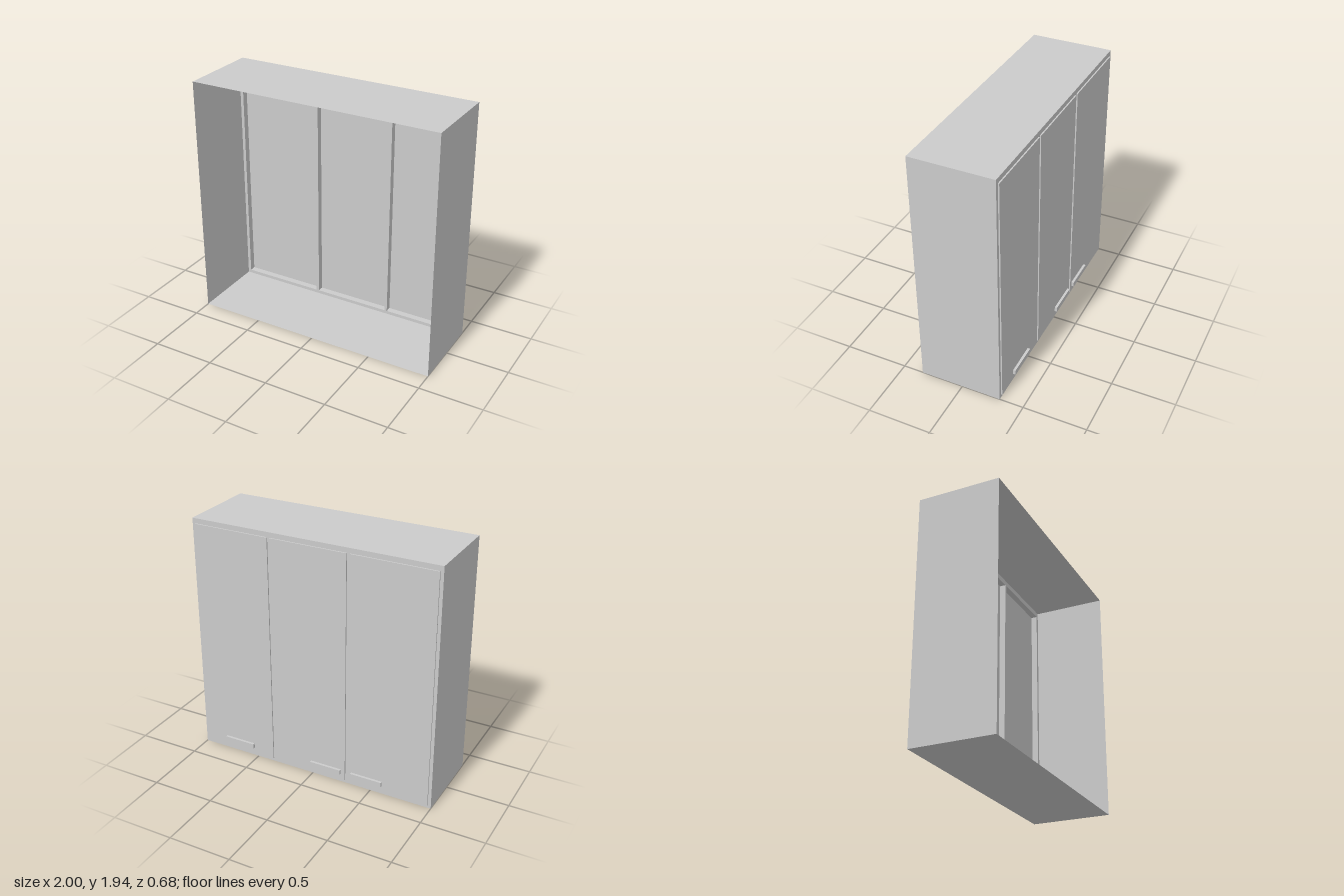
import * as THREE from 'three';

const W = 2, H = 1.94, FRONT = 0.34, BACK = -0.31;
const DOOR_BACK = -0.32, HANDLE_BACK = -0.34;

const solid = new THREE.MeshStandardMaterial({ color: 0xcccccc, flatShading: true });
const sheet = new THREE.MeshStandardMaterial({ color: 0xcccccc, flatShading: true, side: THREE.DoubleSide });

// Thin panel of size w x h, turned by (rx, ry) and placed at (x, y, z)
function panel(name, w, h, [x, y, z], rx = 0, ry = 0) {
  const mesh = new THREE.Mesh(new THREE.PlaneGeometry(w, h), sheet);
  mesh.name = name;
  mesh.position.set(x, y, z);
  mesh.rotation.set(rx, ry, 0);
  return mesh;
}

function rectangle(PathType, x0, x1, y0, y1) {
  const p = new PathType();
  p.moveTo(x0, y0);
  p.lineTo(x1, y0);
  p.lineTo(x1, y1);
  p.lineTo(x0, y1);
  p.closePath();
  return p;
}

// Bent-sheet pull: face, top and two ends, open underneath
function createHandle(x0, x1) {
  const handle = new THREE.Group();
  handle.name = 'handle';
  const y0 = 0.075, y1 = 0.115, h = y1 - y0, w = x1 - x0;
  const depth = DOOR_BACK - HANDLE_BACK, cx = (x0 + x1) / 2;
  const cy = (y0 + y1) / 2, cz = (DOOR_BACK + HANDLE_BACK) / 2;
  handle.add(panel('handleFace', w, h, [cx, cy, HANDLE_BACK], 0, Math.PI));
  handle.add(panel('handleTop', w, depth, [cx, y1, cz], -Math.PI / 2));
  for (const [x, turn] of [[x0, -1], [x1, 1]]) {
    handle.add(panel('handleEnd', depth, h, [x, cy, cz], 0, turn * Math.PI / 2));
  }
  return handle;
}

export function createModel() {
  const model = new THREE.Group();
  model.name = 'wallCabinet';

  // Carcass: thin panels, open at the front
  const carcass = new THREE.Group();
  carcass.name = 'carcass';
  const depth = FRONT - BACK, cz = (FRONT + BACK) / 2;
  carcass.add(panel('topPanel', W, depth, [0, H, cz], -Math.PI / 2));
  carcass.add(panel('bottomPanel', W, depth, [0, 0, cz], Math.PI / 2));
  for (const s of [-1, 1]) {
    carcass.add(panel('sidePanel', depth, H, [s * W / 2, H / 2, cz], 0, s * Math.PI / 2));
  }
  model.add(carcass);

  // Door extents and their handle extents along x
  const doors = [
    { x: [-0.975, -0.31], handle: [-0.6, -0.34] },
    { x: [-0.285, 0.335], handle: [-0.25, 0.01] },
    { x: [0.355, 0.975], handle: [0.53, 0.79] },
  ];
  const y0 = 0.027, y1 = 1.9;

  // Face frame with one opening per door
  const outline = rectangle(THREE.Shape, -W / 2, W / 2, 0, H);
  for (const d of doors) outline.holes.push(rectangle(THREE.Path, ...d.x, y0, y1));
  const frame = new THREE.Mesh(
    new THREE.ExtrudeGeometry(outline, { depth: 0.05, bevelEnabled: false }), solid);
  frame.name = 'doorFrame';
  frame.position.z = BACK;
  model.add(frame);

  // Doors with handles near the bottom edge
  for (const d of doors) {
    const door = new THREE.Group();
    door.name = 'door';
    const t = BACK - DOOR_BACK;
    const leaf = new THREE.Mesh(new THREE.BoxGeometry(d.x[1] - d.x[0], y1 - y0, t), solid);
    leaf.name = 'doorLeaf';
    leaf.position.set((d.x[0] + d.x[1]) / 2, (y0 + y1) / 2, DOOR_BACK + t / 2);
    door.add(leaf, createHandle(...d.handle));
    model.add(door);
  }
  return model;
}
